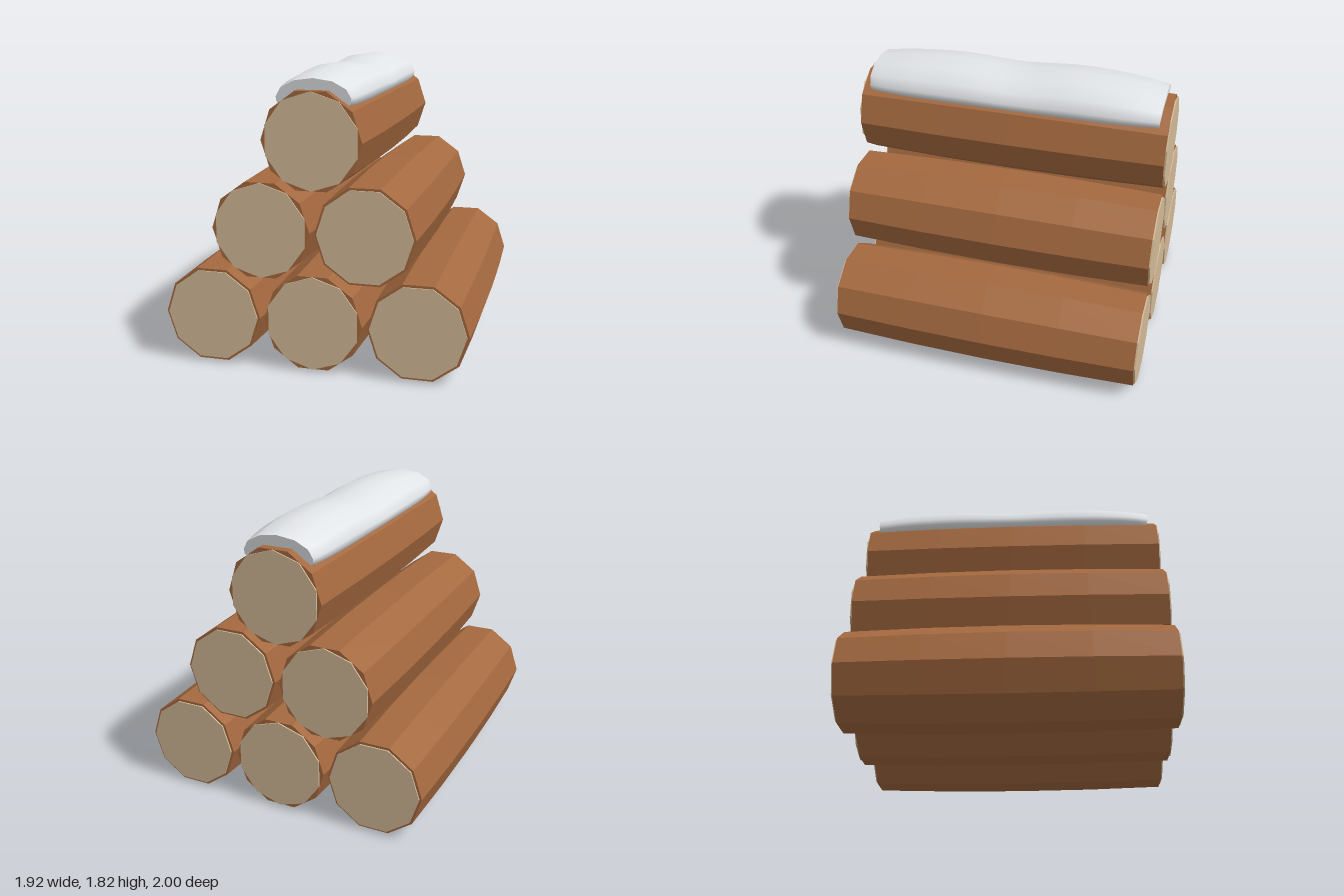
import * as THREE from 'three';

const SIDES = 10;
const HALF = 0.99;

function material(name, color, flatShading = false) {
  const m = new THREE.MeshStandardMaterial({ color, flatShading });
  m.name = name;
  return m;
}

// Ten-sided log along z, slightly fatter in the middle
function logGeometry() {
  const geo = new THREE.CylinderGeometry(1, 1, 2 * HALF, SIDES, 4);
  geo.rotateY(Math.PI / SIDES);
  geo.rotateX(Math.PI / 2);
  const p = geo.attributes.position;
  for (let i = 0; i < p.count; i++) {
    const t = p.getZ(i) / HALF;
    const r = 0.323 - 0.018 * t * t;
    p.setXY(i, p.getX(i) * r, p.getY(i) * r);
  }
  geo.computeVertexNormals();
  return geo;
}

// Soft snow drift: a rounded cross-section swept along z
function snowGeometry() {
  const profile = [[0.235, 1.6], [0.262, 1.63], [0.266, 1.665], [0.232, 1.73], [0.135, 1.785], [0, 1.805]];
  const section = [...profile, ...profile.slice(0, -1).reverse().map(([x, y]) => [-x, y])];
  const crest = new THREE.CatmullRomCurve3([
    [0.945, 1.77], [0.7, 1.8], [0.35, 1.816], [0, 1.798],
    [-0.38, 1.822], [-0.7, 1.806], [-0.945, 1.772],
  ].map(([z, y]) => new THREE.Vector3(0, y, z)));
  const rings = 24, n = section.length;
  const pos = [], index = [];
  for (let i = 0; i <= rings; i++) {
    const c = crest.getPoint(i / rings);
    const width = 1 - 0.15 * Math.pow(Math.abs(c.z) / 0.945, 5);
    for (const [x, y] of section) {
      const h = (y - 1.6) / 0.205;
      // the ends lean out a little towards the crest
      pos.push(x * width, 1.605 + h * (c.y - 1.605), c.z * (0.985 + 0.015 * h));
    }
  }
  for (let i = 0; i < rings; i++) {
    for (let j = 0; j < n; j++) {
      const k = (j + 1) % n;
      const a = i * n + j, b = i * n + k;
      index.push(a, a + n, b, b, a + n, b + n);
    }
  }
  // end faces use their own vertices so the rim stays sharp
  for (const ring of [0, rings]) {
    const start = pos.length / 3;
    for (let j = 0; j < n; j++) pos.push(...pos.slice((ring * n + j) * 3, (ring * n + j) * 3 + 3));
    for (let j = 1; j < n - 1; j++) {
      if (ring === 0) index.push(start, start + j, start + j + 1);
      else index.push(start, start + j + 1, start + j);
    }
  }
  const geo = new THREE.BufferGeometry();
  geo.setAttribute('position', new THREE.Float32BufferAttribute(pos, 3));
  geo.setIndex(index);
  geo.computeVertexNormals();
  return geo;
}

export function createModel() {
  const bark = material('bark', 0xa4693f, true);
  const wood = material('cut wood', 0xd4ba97, true);
  const snow = material('snow', 0xeef1f4);
  snow.side = THREE.DoubleSide;

  const model = new THREE.Group();
  model.name = 'logPile';

  // x, y and turn of the cut face of each log
  const turned = Math.PI / SIDES;
  const logs = [
    [-0.638, 0.311, 0], [0, 0.311, turned], [0.638, 0.311, 0],
    [-0.319, 0.864, turned], [0.319, 0.864, 0],
    [0, 1.41, turned],
  ];
  const barkGeo = logGeometry();
  const cutGeo = new THREE.CylinderGeometry(0.29, 0.29, 0.009, SIDES);
  cutGeo.rotateY(Math.PI / SIDES);
  cutGeo.rotateX(Math.PI / 2);

  logs.forEach(([x, y, turn], i) => {
    const log = new THREE.Group();
    log.name = `log${i + 1}`;
    log.position.set(x, y, 0);
    // flat sides face up and down
    const body = new THREE.Mesh(barkGeo, bark);
    body.name = 'bark';
    log.add(body);
    for (const s of [1, -1]) {
      const cut = new THREE.Mesh(cutGeo, wood);
      cut.name = s > 0 ? 'frontCutFace' : 'backCutFace';
      cut.position.z = s * 0.9955;
      cut.rotation.z = turn;
      log.add(cut);
    }
    model.add(log);
  });

  const cap = new THREE.Mesh(snowGeometry(), snow);
  cap.name = 'snowCap';
  model.add(cap);
  return model;
}
